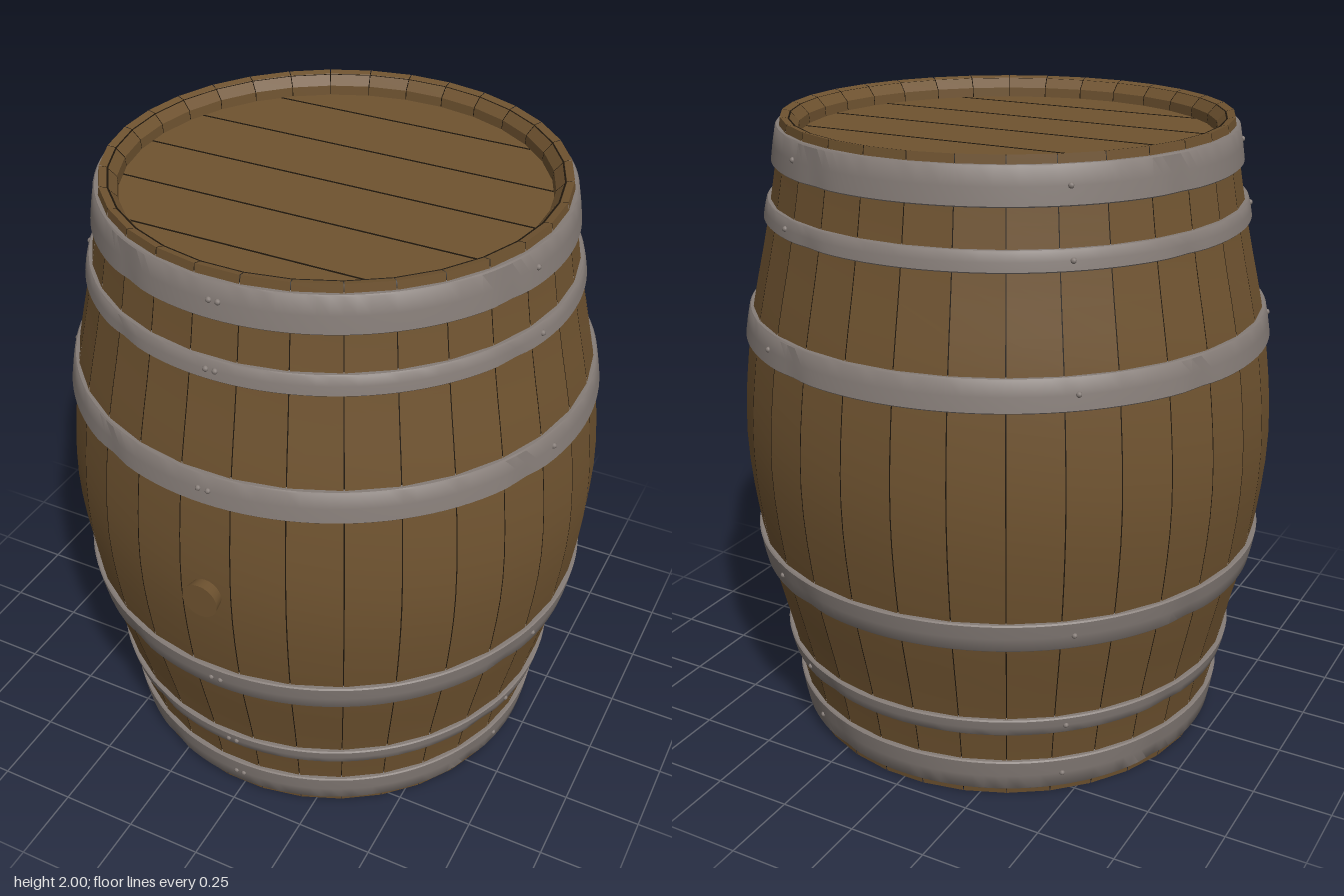
import * as THREE from 'three';
import { toCreasedNormals } from 'three/addons/utils/BufferGeometryUtils.js';

const STAVES = 32;
const STEP = (Math.PI * 2) / STAVES;

const mat = (name, color, side = THREE.FrontSide) => {
  const m = new THREE.MeshStandardMaterial({ color, side });
  m.name = name;
  return m;
};

// Outer barrel radius at height y
const curve = new THREE.CatmullRomCurve3([
  [0.69, 0], [0.712, 0.14], [0.748, 0.33], [0.815, 0.64], [0.85, 1],
  [0.815, 1.36], [0.748, 1.67], [0.712, 1.86], [0.69, 2],
].map(([r, y]) => new THREE.Vector3(r, y, 0)));
const profile = curve.getPoints(32).map((p) => new THREE.Vector2(p.x, p.y));
const radiusAt = (y) => {
  const i = Math.max(1, profile.findIndex((p) => p.y >= y - 1e-6));
  const a = profile[i - 1], b = profile[i];
  return a.x + ((b.x - a.x) * (y - a.y)) / (b.y - a.y);
};

export function createModel() {
  const wood = mat('oak wood', 0x6f5330);
  const metal = mat('iron', 0x857c77);
  const dark = mat('dark seam', 0x1e160c, THREE.DoubleSide);

  const model = new THREE.Group();
  model.name = 'barrel';
  const body = new THREE.Group();
  body.name = 'barrelBody';
  body.position.z = -0.015;
  model.add(body);
  const add = (name, geo, material, parent = body) => {
    const mesh = new THREE.Mesh(geo, material);
    mesh.name = name;
    parent.add(mesh);
    return mesh;
  };

  // Staves: one flat-fronted slice each, with a chamfered lip at both ends
  const lip = [[0.668, 1.995], [0.64, 1.965], [0.635, 1.9]];
  const ring = [
    ...lip.slice().reverse().map(([r, y]) => new THREE.Vector2(r, 2 - y)),
    ...profile,
    ...lip.map(([r, y]) => new THREE.Vector2(r, y)),
  ];
  const gap = 0.004;
  const staveGeo = toCreasedNormals(
    new THREE.LatheGeometry(ring, 1, -STEP / 2 + gap / 2, STEP - gap), 0.3);
  const staves = new THREE.Group();
  staves.name = 'staves';
  body.add(staves);
  for (let i = 0; i < STAVES; i++) add('stave', staveGeo, wood, staves).rotation.y = i * STEP;

  // Dark lining seen between the staves
  const core = ring.slice(2, -2).map((p) => new THREE.Vector2(
    p.x - 0.006, THREE.MathUtils.clamp(p.y, 0.006, 1.994)));
  add('seamLining', new THREE.LatheGeometry(core, STAVES, -STEP / 2), dark);

  // Heads: planked discs sunk inside both ends
  for (const top of [true, false]) {
    const head = new THREE.Group();
    head.name = top ? 'topHead' : 'bottomHead';
    head.position.y = top ? 1.925 : 0.075;
    body.add(head);
    add('headBoards', new THREE.CylinderGeometry(0.64, 0.64, 0.02, 64), wood, head);
    for (let i = -2; i <= 2; i++) {
      const z = i * 0.233;
      const seam = add('boardSeam',
        new THREE.BoxGeometry(2 * Math.sqrt(0.635 ** 2 - z * z), 0.002, 0.005), dark, head);
      seam.position.set(0, top ? 0.0105 : -0.0105, z);
    }
  }

  // Iron hoops with rivets, mirrored top and bottom
  const hoops = [[1.865, 1.975], [1.695, 1.755], [1.325, 1.42]];
  const rivetAngles = [-1.1, 1.1, 76, 150, 222, 294].map(THREE.MathUtils.degToRad);
  const rivetGeo = new THREE.SphereGeometry(0.009, 8, 6);
  const dents = [-25, 67, 160, 250].map(THREE.MathUtils.degToRad);
  for (const [a, b] of hoops) {
    for (const [y0, y1] of [[a, b], [2 - b, 2 - a]]) {
      const hoop = new THREE.Group();
      hoop.name = 'hoop';
      body.add(hoop);
      const r0 = radiusAt(y0), r1 = radiusAt(y1), t = 0.012, c = 0.004;
      const section = [
        [r0 - 0.008, y0], [r0 + t - c, y0], [r0 + t, y0 + c],
        [(r0 + r1) / 2 + t + 0.001, (y0 + y1) / 2],
        [r1 + t, y1 - c], [r1 + t - c, y1], [r1 - 0.008, y1],
      ].map(([r, y]) => new THREE.Vector2(r, y));
      const geo = new THREE.LatheGeometry(section, STAVES * 4, -STEP / 2);
      // Shallow hammer dents along the lower half of the band
      const p = geo.attributes.position;
      for (let i = 0; i < p.count; i++) {
        const ang = Math.atan2(p.getX(i), p.getZ(i));
        const low = (y1 - p.getY(i)) / (y1 - y0);
        let push = 0;
        for (const d of dents) {
          const off = Math.atan2(Math.sin(ang - d), Math.cos(ang - d));
          push += Math.exp(-((off / 0.06) ** 2));
        }
        const k = 1 - 0.009 * push * low;
        p.setX(i, p.getX(i) * k);
        p.setZ(i, p.getZ(i) * k);
      }
      add('hoopBand', toCreasedNormals(geo, 0.6), metal, hoop);
      const ym = (y0 + y1) / 2, rm = (r0 + r1) / 2 + t;
      for (const ang of rivetAngles) {
        add('rivet', rivetGeo, metal, hoop)
          .position.set(Math.sin(ang) * rm, ym, Math.cos(ang) * rm);
      }
    }
  }

  // Bung: flared plug on the front
  const bung = add('bung', new THREE.CylinderGeometry(0.058, 0.048, 0.06, 24), wood, model);
  bung.rotation.x = Math.PI / 2;
  bung.position.set(0, 1, 0.838);

  return model;
}
